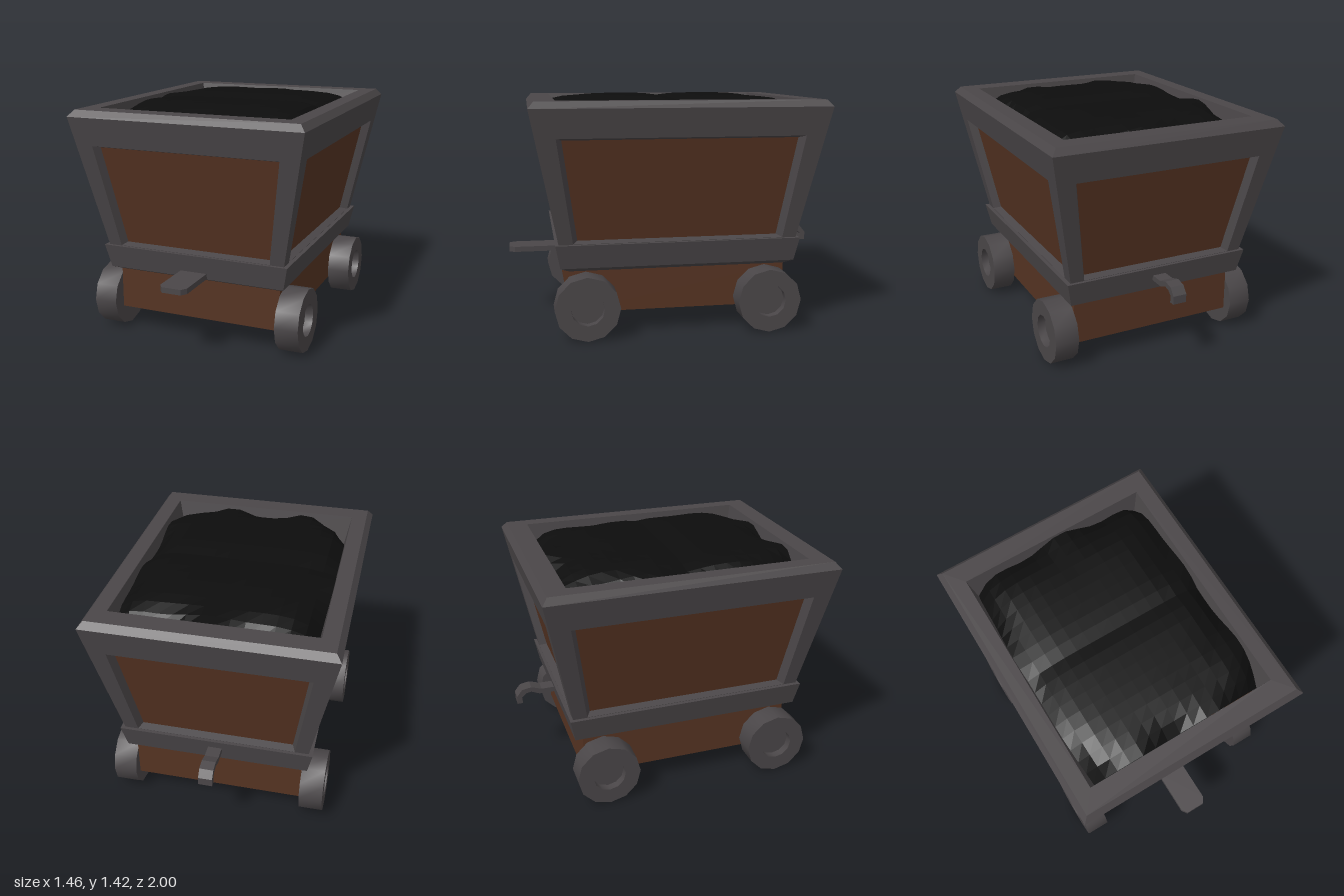
import * as THREE from 'three';
import { toCreasedNormals } from 'three/addons/utils/BufferGeometryUtils.js';

const mat = (color) => new THREE.MeshStandardMaterial({ color, flatShading: true, side: THREE.DoubleSide });
const iron = mat(0x4a4648);
const wood = mat(0x553322);
const coalMat = mat(0x0d0d0d);
const wheelMat = new THREE.MeshStandardMaterial({ color: 0x4a4648 });

// Skin a list of four-cornered rings, each joined to the next
function loft(rings, cap = false) {
  const pos = [];
  const quad = (a, b, c, d) => pos.push(...a, ...b, ...c, ...a, ...c, ...d);
  for (let r = 0; r < rings.length - 1; r++) {
    const lo = rings[r], hi = rings[r + 1];
    for (let i = 0; i < 4; i++) {
      const j = (i + 1) % 4;
      quad(lo[i], lo[j], hi[j], hi[i]);
    }
  }
  if (cap) quad(...rings[rings.length - 1]);
  const geo = new THREE.BufferGeometry();
  geo.setAttribute('position', new THREE.Float32BufferAttribute(pos, 3));
  geo.computeVertexNormals();
  return geo;
}

// Horizontal rectangle of half sizes hx, hz at height y
const rect = (hx, hz, y) => [[hx, y, hz], [hx, y, -hz], [-hx, y, -hz], [-hx, y, hz]];

function add(parent, name, geo, material) {
  const mesh = new THREE.Mesh(geo, material);
  mesh.name = name;
  parent.add(mesh);
  return mesh;
}

const Y0 = 0.565, Y1 = 1.37; // height range of the sloping walls
const slope = (lo, hi, y) => lo + (hi - lo) * (y - Y0) / (Y1 - Y0);

// One sloping wall: frame, bevelled opening and sunken plank panel
function addWall(parent, k, w, d, open, inner) {
  const trapezoid = (bw, tw, yb, yt, sink) => {
    const zb = slope(...d, yb) - sink, zt = slope(...d, yt) - sink;
    return [[-bw, yb, zb], [bw, yb, zb], [tw, yt, zt], [-tw, yt, zt]];
  };
  const outerRing = trapezoid(w[0], w[1], Y0, Y1, 0);
  const openRing = trapezoid(open[0], open[1], 0.567, 1.2, 0);
  const panelRing = trapezoid(inner[0], inner[1], 0.58, 1.187, 0.05);
  const wall = new THREE.Group();
  wall.name = 'wall';
  wall.rotation.y = k * Math.PI / 2;
  add(wall, 'wallFrame', loft([outerRing, openRing, panelRing]), iron);
  add(wall, 'wallPanel', loft([panelRing], true), wood);
  parent.add(wall);
}

// Lumpy coal surface that sinks towards the edges and corners
function coalGeometry() {
  const geo = new THREE.PlaneGeometry(2, 2, 14, 18).rotateX(-Math.PI / 2);
  const p = geo.attributes.position;
  for (let i = 0; i < p.count; i++) {
    const u = p.getX(i), v = p.getZ(i);
    const edge = Math.max(Math.abs(u), Math.abs(v)) ** 6;
    const lump = 1 + 0.6 * Math.sin(7 * u + 2 * v) * Math.cos(6 * v - u);
    const y = 1.425 - 0.13 * Math.abs(u * v) ** 4 - 0.06 * edge * lump
      - 0.015 * Math.exp(-((v / 0.1) ** 2));
    const shrink = 0.2 * (1.41 - y);
    p.setXYZ(i, u * (0.598 - shrink), y, v * (0.728 - shrink));
  }
  geo.computeVertexNormals();
  return geo;
}

// Wheel with a round recess in its outer face, axis along +x
function wheelGeometry() {
  const profile = [[0, 0], [0.195, 0], [0.195, 0.145], [0.1, 0.145], [0.1, 0.095], [0, 0.095]]
    .map(([r, h]) => new THREE.Vector2(r, h));
  const geo = new THREE.LatheGeometry(profile, 12).rotateZ(-Math.PI / 2);
  return toCreasedNormals(geo, 0.6);
}

// Outline extruded symmetrically about its plane
function slab(points, depth) {
  const shape = new THREE.Shape(points.map(([x, y]) => new THREE.Vector2(x, y)));
  return new THREE.ExtrudeGeometry(shape, { depth, bevelEnabled: false }).translate(0, 0, -depth / 2);
}

export function createModel() {
  const model = new THREE.Group();
  model.name = 'coalCart';

  const body = new THREE.Group();
  body.name = 'body';
  body.position.z = -0.025;
  model.add(body);

  // Hollow chassis and the iron band above it
  add(body, 'chassis', loft([rect(0.525, 0.663, 0.14), rect(0.525, 0.663, 0.395)]), wood);
  add(body, 'lowerBand', loft([
    rect(0.525, 0.663, 0.395), rect(0.565, 0.717, 0.42),
    rect(0.595, 0.745, 0.565), rect(0.57, 0.725, 0.565),
  ]), iron);

  // Four walls
  for (const k of [0, 2]) addWall(body, k, [0.57, 0.728], [0.725, 0.885], [0.487, 0.585], [0.467, 0.56]);
  for (const k of [1, 3]) addWall(body, k, [0.725, 0.885], [0.57, 0.728], [0.64, 0.733], [0.612, 0.7]);

  // Bevelled rim with its inner lining
  add(body, 'rim', loft([
    rect(0.728, 0.885, 1.37), rect(0.695, 0.852, 1.41),
    rect(0.6, 0.73, 1.41), rect(0.55, 0.68, 1.16),
  ]), iron);
  add(body, 'coal', coalGeometry(), coalMat);

  // Wheels
  const wheelGeo = wheelGeometry();
  for (const side of [1, -1]) {
    for (const z of [0.54, -0.565]) {
      const wheel = add(model, 'wheel', wheelGeo, wheelMat);
      wheel.position.set(side * 0.525, 0.195, z);
      if (side < 0) wheel.rotation.y = Math.PI;
    }
  }

  // Front coupling plate, outline in x and z
  const plate = slab([[-0.085, 0.67], [0.085, 0.67], [0.085, 0.96], [0.06, 0.995],
    [-0.06, 0.995], [-0.085, 0.96]], 0.033);
  add(model, 'couplingPlate', plate.rotateX(Math.PI / 2).translate(0, 0.441, 0), iron);

  // Rear coupling hook, outline in -z and y
  const hook = slab([[0.72, 0.481], [0.855, 0.481], [0.905, 0.503], [0.94, 0.497], [0.968, 0.47],
    [0.965, 0.43], [1, 0.43], [1, 0.48], [0.965, 0.524], [0.905, 0.535], [0.84, 0.513], [0.72, 0.513]], 0.085);
  add(model, 'couplingHook', hook.rotateY(Math.PI / 2), iron);

  return model;
}
